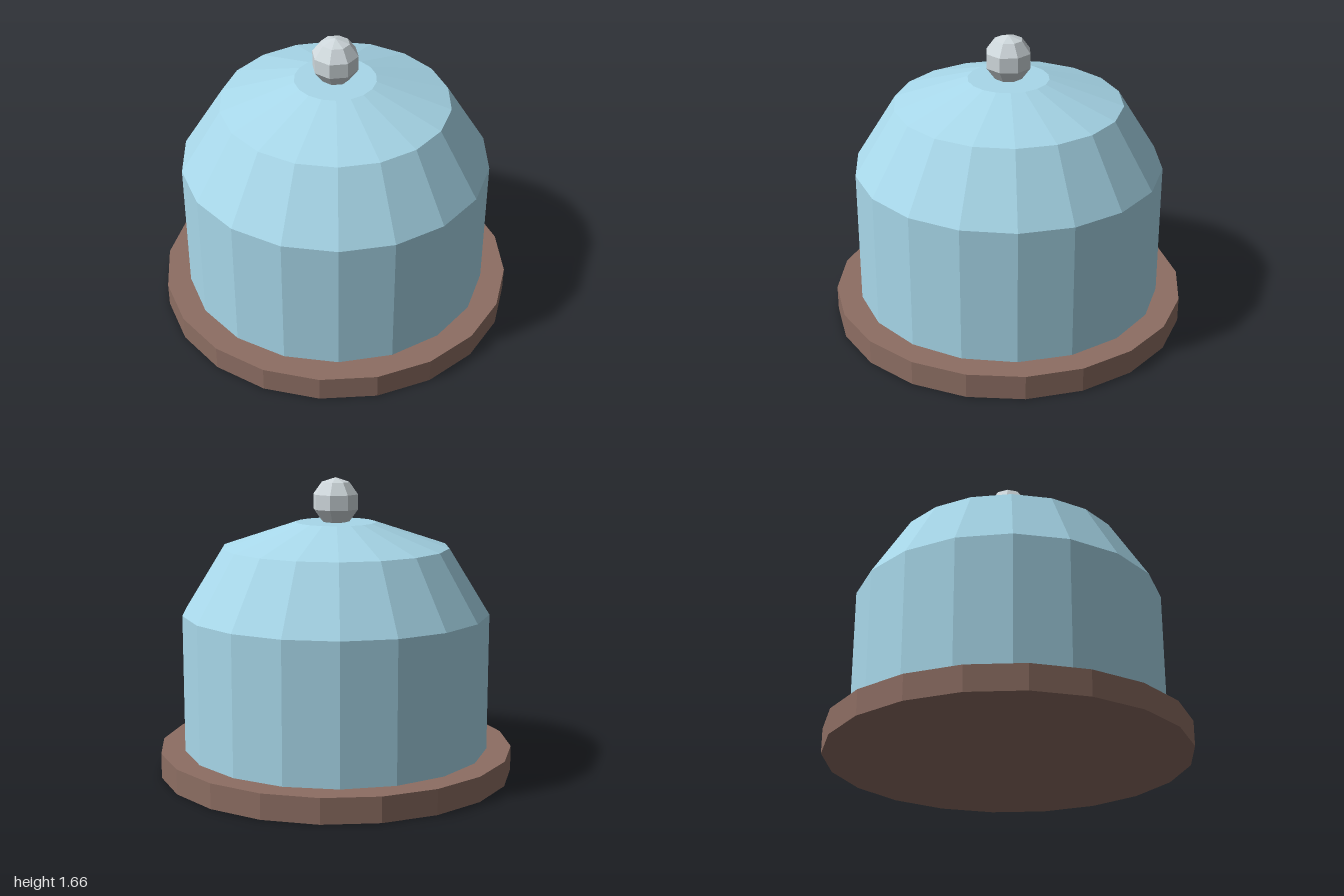
import * as THREE from 'three';

const flat = (color) => new THREE.MeshStandardMaterial({ color, flatShading: true });

export function createModel() {
  const model = new THREE.Group();
  model.name = 'domedDish';

  const add = (name, geometry, color, y = 0) => {
    const mesh = new THREE.Mesh(geometry, flat(color));
    mesh.name = name;
    mesh.position.y = y;
    model.add(mesh);
  };

  // Round wooden base, 20 sides
  add('base', new THREE.CylinderGeometry(1, 1, 0.14, 20), 0x8d6e63, 0.07);

  // Glass cover: straight wall, steep shoulder, shallow roof, flat cap; 18 sides with a corner on +x
  const profile = [[0.862, 0.14], [0.862, 0.91], [0.635, 1.275], [0.225, 1.412], [0, 1.412]]
    .map(([r, y]) => new THREE.Vector2(r, y));
  add('cover', new THREE.LatheGeometry(profile, 18, Math.PI / 2), 0xa8d8ea);

  // Faceted knob, its lowest point sunk into the cap
  add('knob', new THREE.SphereGeometry(0.134, 8, 5), 0xcfd8dc, 1.525);

  return model;
}
